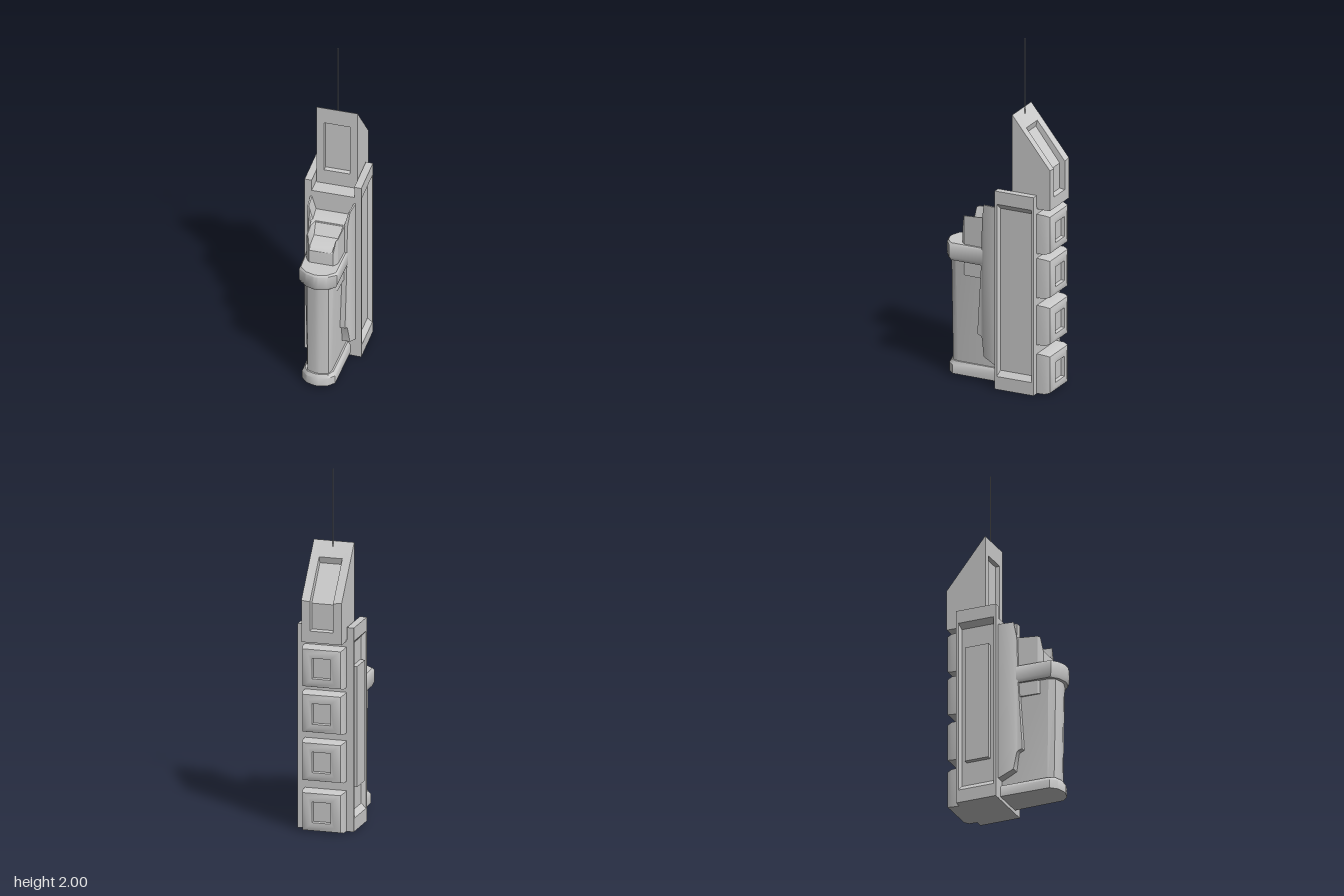
import * as THREE from 'three';
import { toCreasedNormals } from 'three/addons/utils/BufferGeometryUtils.js';

const material = new THREE.MeshStandardMaterial({ color: 0xcccccc, side: THREE.DoubleSide });

// Completes a ring from its +x half, keeping the order of corners
const mirror = half => [...half, ...half.slice().reverse().map(([x, y, z]) => [-x, y, z])];

// Skins a row of mirrored rings and closes both ends with strips
function loft(halves, crease = 0.5) {
  const rings = halves.map(mirror), n = rings[0].length, index = [];
  for (let i = 0; i < rings.length - 1; i++) {
    for (let j = 0; j < n; j++) {
      const k = (j + 1) % n, a = i * n + j, b = i * n + k;
      index.push(a, b, b + n, a, b + n, a + n);
    }
  }
  const end = (rings.length - 1) * n;
  for (let j = 0; j < n / 2 - 1; j++) {
    const a = j, b = j + 1, c = n - 2 - j, d = n - 1 - j;
    index.push(a, c, b, a, d, c);
    index.push(end + a, end + b, end + c, end + a, end + c, end + d);
  }
  const geometry = new THREE.BufferGeometry();
  geometry.setAttribute('position', new THREE.Float32BufferAttribute(rings.flat(2), 3));
  geometry.setIndex(index);
  return toCreasedNormals(geometry, crease);
}

// Upright rectangle, half width, half height and depth
const rect = ([w, h, z]) => [[w, -h, z], [w, h, z]];

// Block section with a sloped notch in its top: z, half width, bottom, top, notch floor, notch half widths
const notched = ([z, w, bottom, top, floor, wide, narrow]) =>
  [[w, bottom, z], [w, top, z], [wide, top, z], [narrow, floor, z]];

// Plan of the rounded front lobe at height y, grown by g
const lobePlan = (y, g, back) => [
  [0.012, y, 0.315 + g], [0.06, y, 0.3 + g], [0.085 + g, y, 0.265 + g], [0.09 + g, y, back], [0.04, y, back],
];

export function createModel() {
  const group = new THREE.Group();
  const add = (name, geometry, x = 0, y = 0, z = 0) => {
    const mesh = new THREE.Mesh(geometry, material);
    mesh.name = name;
    mesh.position.set(x, y, z);
    group.add(mesh);
    return mesh;
  };

  // Central slab
  add('core', new THREE.BoxGeometry(0.26, 1.08, 0.234), 0, 0.54, -0.135);

  // Recessed side frames, rising past the core
  for (const side of [-1, 1]) {
    const frame = loft([
      [0.118, 0.575, 0.12], [0.118, 0.575, 0.16], [0.105, 0.5, 0.16], [0.095, 0.47, 0.135],
    ].map(rect));
    add(side > 0 ? 'leftFrame' : 'rightFrame', frame, 0, 0.575, -0.135).rotation.y = side * Math.PI / 2;
  }
  add('rightPanel', new THREE.BoxGeometry(0.035, 0.68, 0.14), -0.1455, 0.58, -0.13);

  // Upper front tier, with its leaning lower front
  add('frontTier', loft([
    [-0.2, 0.125, 0.1, 1.04, 1.04, 0.12, 0.1],
    [-0.105, 0.125, 0.1, 1.04, 1.04, 0.12, 0.1],
    [-0.065, 0.125, 0.11, 1.04, 0.96, 0.12, 0.1],
    [-0.01, 0.128, 0.12, 1.04, 0.96, 0.118, 0.095],
    [0.07, 0.12, 0.16, 1.04, 0.955, 0.112, 0.09],
    [0.085, 0.11, 0.26, 0.95, 0.95, 0.1, 0.09],
    [0.092, 0.108, 0.27, 0.68, 0.68, 0.1, 0.09],
    [0.115, 0.105, 0.28, 0.3, 0.3, 0.1, 0.09],
  ].map(notched)));

  // Lower front tier
  add('frontStep', loft([
    [0.03, 0.095, 0.6, 0.955, 0.955, 0.087, 0.07],
    [0.08, 0.095, 0.6, 0.955, 0.955, 0.087, 0.07],
    [0.122, 0.092, 0.6, 0.951, 0.89, 0.086, 0.068],
    [0.2, 0.088, 0.6, 0.945, 0.88, 0.084, 0.068],
    [0.212, 0.08, 0.6, 0.94, 0.875, 0.077, 0.066],
    [0.225, 0.068, 0.6, 0.86, 0.86, 0.066, 0.06],
  ].map(notched)));

  // Rounded front lobe with base and cap
  add('lobe', loft([lobePlan(0.05, -0.015, -0.02), lobePlan(0.72, -0.004, -0.02)]));
  add('lobeBase', loft([
    lobePlan(0.02, 0.008, -0.02), lobePlan(0.07, 0.008, -0.02), lobePlan(0.09, -0.005, -0.02),
  ], 0.7));
  add('lobeCap', loft([
    lobePlan(0.68, 0.014, 0.08), lobePlan(0.7, 0.022, 0.08), lobePlan(0.77, 0.022, 0.08), lobePlan(0.78, 0.014, 0.08),
  ], 0.7));

  // Stacked rear pods, each with a square recess
  for (const y of [0.115, 0.397, 0.67, 0.926]) {
    add('rearPod', loft([
      [0.05, 0.055, -0.315], [0.053, 0.058, -0.335], [0.075, 0.08, -0.338],
      [0.108, 0.105, -0.327], [0.118, 0.113, -0.3], [0.118, 0.115, -0.24],
    ].map(rect), 0.75), 0, y, 0);
  }

  // Sloped top tower, recessed panels on the front and on the bent back
  const bent = (w, bottom, middle, top) => [bottom, middle, top].map(([y, z]) => [w, y, z]);
  add('topTower', loft([
    bent(0.064, [1.14, -0.3], [1.285, -0.3], [1.475, -0.155]),
    bent(0.066, [1.135, -0.33], [1.3, -0.33], [1.51, -0.163]),
    bent(0.115, [1.07, -0.33], [1.305, -0.33], [1.59, -0.102]),
    bent(0.115, [1.07, -0.1], [1.305, -0.1], [1.59, -0.1]),
    bent(0.073, [1.17, -0.1], [1.305, -0.1], [1.49, -0.1]),
    bent(0.07, [1.175, -0.122], [1.305, -0.122], [1.485, -0.122]),
  ]));
  add('antenna', new THREE.CylinderGeometry(0.003, 0.003, 0.5, 8), 0, 1.75, -0.12);

  return group;
}
